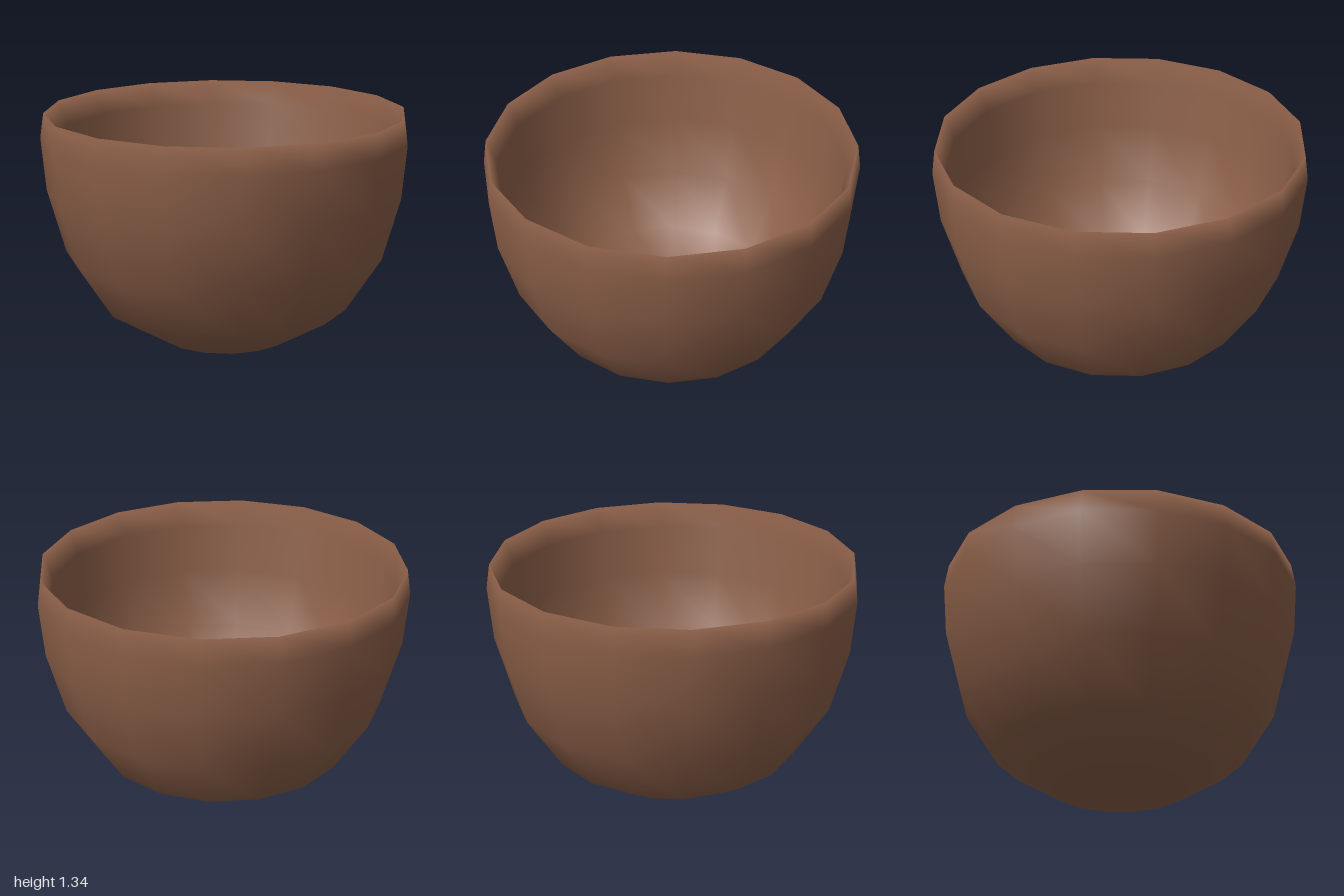
import * as THREE from 'three';

export function createModel() {
  const group = new THREE.Group();
  group.name = 'bowl';

  const clay = new THREE.MeshStandardMaterial({ color: 0x8a5e47 });
  clay.name = 'brown clay';

  // Closed wall section: up the outside, over the rim ridge, down the inside
  const outside = [[0, 0], [0.375, 0.07], [0.685, 0.26], [0.88, 0.565], [0.975, 0.91], [1, 1.2]];
  const rim = [[0.98, 1.335]];
  const inside = [[0.93, 1.2], [0.91, 0.925], [0.82, 0.6], [0.64, 0.315], [0.35, 0.14], [0, 0.075]];
  const profile = [...outside, ...rim, ...inside].map(([r, y]) => new THREE.Vector2(r, y));

  // Sixteen sides with smooth normals
  const shell = new THREE.Mesh(new THREE.LatheGeometry(profile, 16), clay);
  shell.name = 'bowlShell';
  group.add(shell);

  return group;
}
